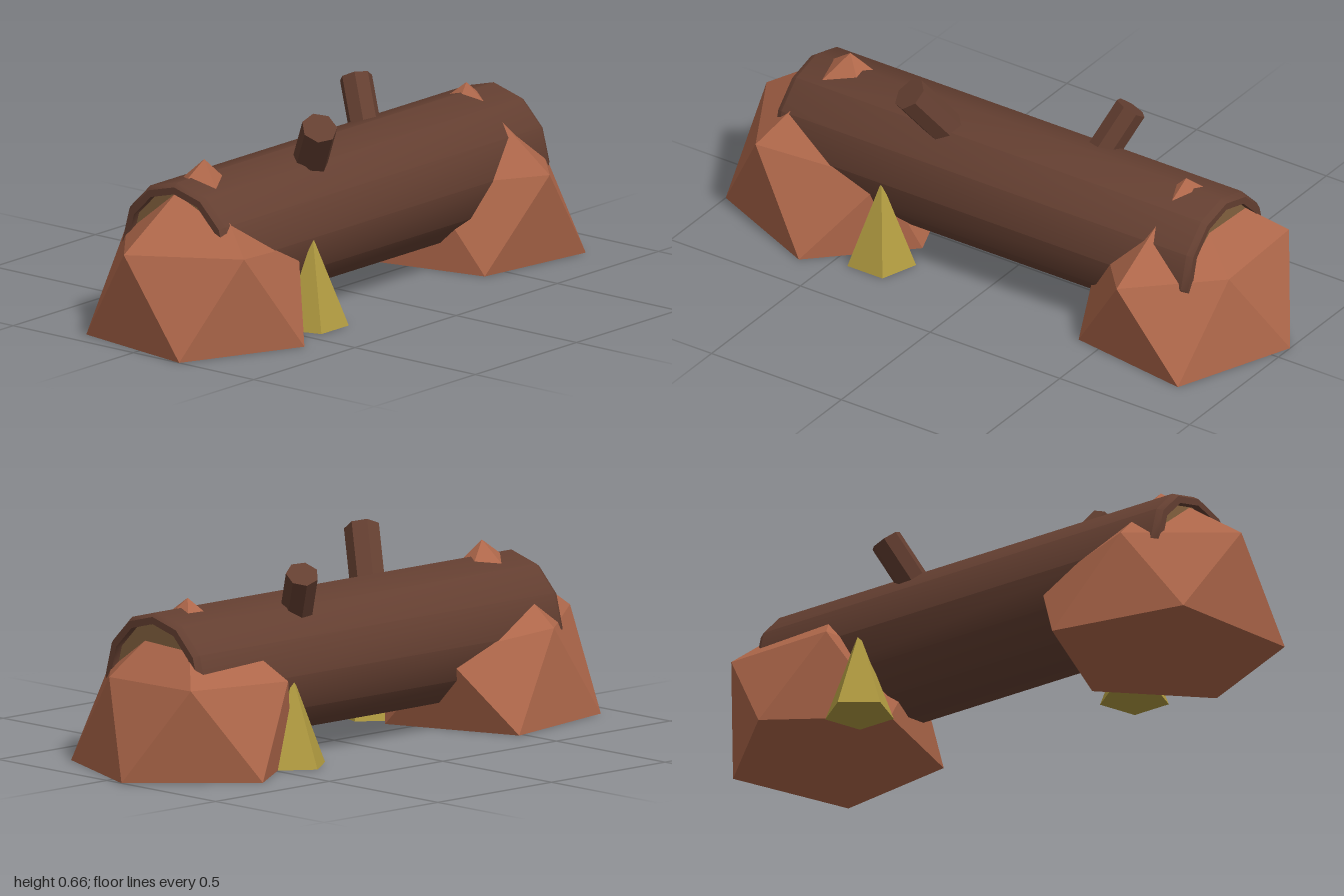
import * as THREE from 'three';
import { toCreasedNormals } from 'three/addons/utils/BufferGeometryUtils.js';
import { ConvexGeometry } from 'three/addons/geometries/ConvexGeometry.js';

const LOG_Y = 0.288;

export function createModel() {
  const model = new THREE.Group();
  model.name = 'fallenLog';

  const bark = new THREE.MeshStandardMaterial({ name: 'bark', color: 0x643f31 });
  const wood = new THREE.MeshStandardMaterial({ name: 'cut wood', color: 0x84623f });
  const stone = new THREE.MeshStandardMaterial({ name: 'stone', color: 0xae674a });
  const leaf = new THREE.MeshStandardMaterial({ name: 'dry grass', color: 0xb09a40 });

  const add = (name, geometry, material) => {
    const mesh = new THREE.Mesh(geometry, material);
    mesh.name = name;
    model.add(mesh);
    return mesh;
  };
  const v = (p) => new THREE.Vector3(...p);

  // Trunk: bevelled rims around shallow recesses, lying along x
  const profile = [
    [0.192, -0.77], [0.192, -0.8], [0.215, -0.8], [0.228, -0.78],
    [0.228, 0.78], [0.215, 0.8], [0.192, 0.8], [0.192, 0.77],
  ].map(([r, y]) => new THREE.Vector2(r, y));
  const trunk = new THREE.LatheGeometry(profile, 12);
  trunk.rotateZ(-Math.PI / 2);
  add('trunk', toCreasedNormals(trunk, 0.6), bark).position.y = LOG_Y;

  // Pale cut faces set into both ends
  for (const side of [-1, 1]) {
    const cut = add(side > 0 ? 'leftCutFace' : 'rightCutFace', new THREE.CircleGeometry(0.194, 12), wood);
    cut.rotation.y = side * Math.PI / 2;
    cut.position.set(side * 0.775, LOG_Y, 0);
  }

  // Branch stubs: faceted cylinders between two points
  const addBranch = (name, from, to, radius) => {
    const a = v(from), b = v(to);
    const dir = b.clone().sub(a);
    const geometry = new THREE.CylinderGeometry(radius, radius, dir.length(), 7);
    const branch = add(name, toCreasedNormals(geometry, 0.3), bark);
    branch.position.copy(a).add(b).multiplyScalar(0.5);
    branch.quaternion.setFromUnitVectors(new THREE.Vector3(0, 1, 0), dir.normalize());
  };
  addBranch('frontBranch', [-0.2, 0.42, 0.045], [-0.297, 0.625, 0.182], 0.058);
  addBranch('backBranch', [0.24, 0.42, -0.07], [0.31, 0.602, -0.178], 0.053);

  // Boulders: peak, ring of shoulders, ring of feet on the ground
  const addBoulder = (name, points) => add(name, new ConvexGeometry(points.map(v)), stone);
  addBoulder('rightBoulder', [
    [-0.65, 0.565, 0],
    [-0.81, 0.32, 0.3], [-1, 0.315, -0.04], [-0.7, 0.31, -0.28], [-0.31, 0.26, -0.18], [-0.4, 0.26, 0.18],
    [-1, 0, 0.19], [-0.595, 0, 0.37], [-0.31, 0, 0.09], [-0.48, 0, -0.35], [-0.93, 0, -0.255],
  ]);
  addBoulder('leftBoulder', [
    [0.645, 0.545, 0],
    [0.885, 0.305, 0.11], [0.625, 0.307, 0.363], [0.37, 0.27, 0.07], [0.47, 0.29, -0.28], [0.87, 0.305, -0.25],
    [1, 0, -0.067], [0.84, 0, 0.332], [0.415, 0, 0.27], [0.32, 0, -0.14], [0.67, 0, -0.373],
  ]);

  // Grass tufts: five-sided cones, one on each side of the trunk
  for (const [name, x, z] of [['frontTuft', -0.378, 0.222], ['backTuft', 0.388, -0.214]]) {
    const cone = new THREE.ConeGeometry(0.115, 0.29, 5);
    cone.rotateY(Math.PI);
    add(name, toCreasedNormals(cone, 0.1), leaf).position.set(x, 0.145, z);
  }

  return model;
}
